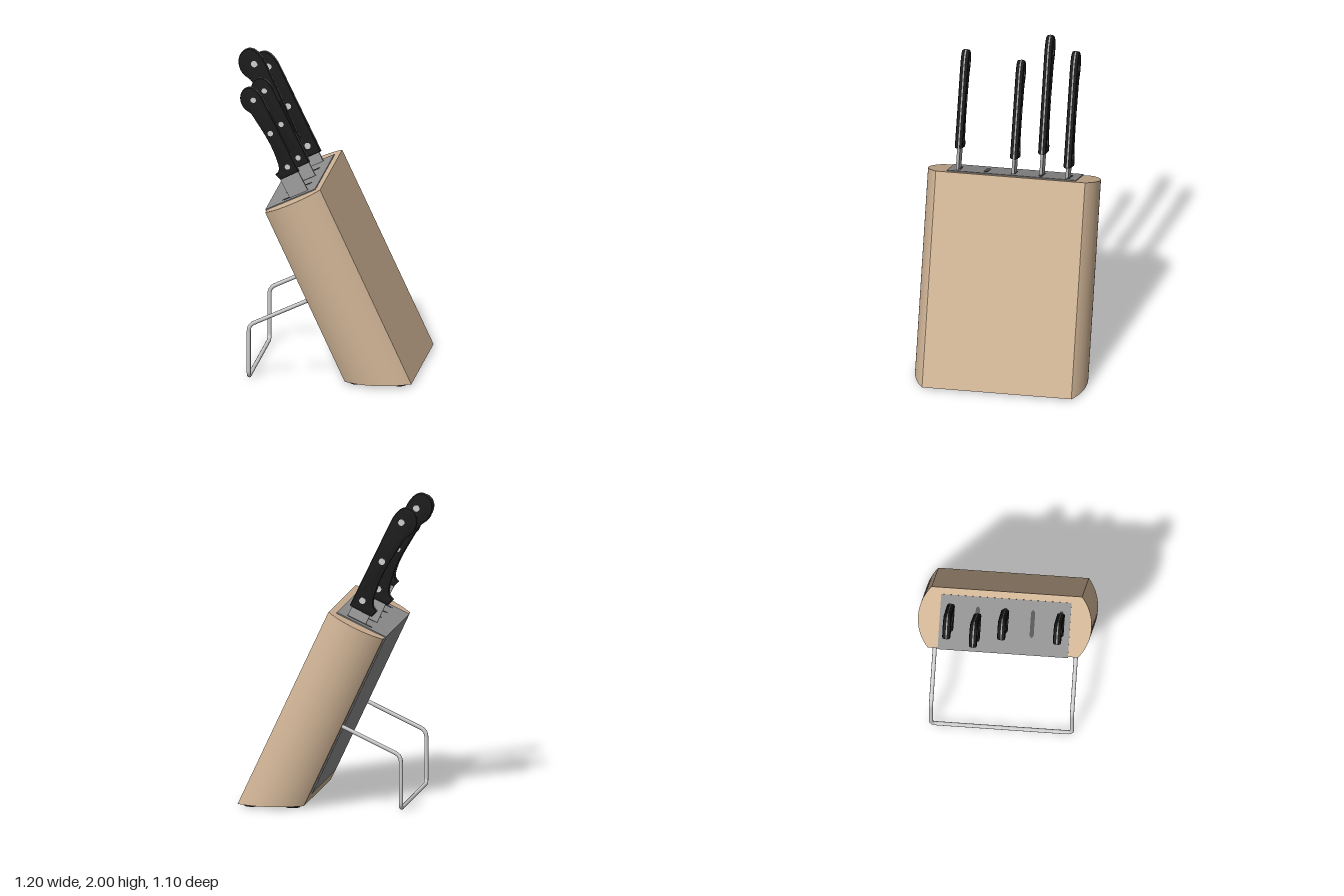
import * as THREE from 'three';
import { toCreasedNormals } from 'three/addons/utils/BufferGeometryUtils.js';

const TILT = THREE.MathUtils.degToRad(25);
const TOP = { x: -0.155, y: 1.185 }; // centre of the block's top face
const FLOOR = 0.015;                 // underside of the block

function material(name, color) {
  const m = new THREE.MeshStandardMaterial({ color });
  m.name = name;
  return m;
}

function add(parent, name, geometry, mat, x = 0, y = 0, z = 0) {
  const mesh = new THREE.Mesh(geometry, mat);
  mesh.name = name;
  mesh.position.set(x, y, z);
  parent.add(mesh);
  return mesh;
}

// Local height at which the tilted block meets its level underside
const bottomAt = (x, level) =>
  (level - TOP.y - Math.sin(TILT) * x) / Math.cos(TILT);

// Prism along y whose lower end is cut level with the ground
function cutPrism(shape, top, level) {
  const g = new THREE.ExtrudeGeometry(shape, { depth: 1, bevelEnabled: false, curveSegments: 24 });
  g.rotateX(-Math.PI / 2);
  const p = g.attributes.position;
  for (let i = 0; i < p.count; i++) {
    p.setY(i, p.getY(i) < 0.5 ? bottomAt(p.getX(i), level) : top);
  }
  return toCreasedNormals(g, 0.5);
}

// Flat fronted block with bulging ends
function blockShape() {
  const w = 0.193, flat = 0.477, bulge = 0.073;
  const r = (w * w + bulge * bulge) / (2 * bulge);
  const a = Math.asin(w / r), c = flat + bulge - r;
  const s = new THREE.Shape();
  s.moveTo(w, -flat);
  s.lineTo(w, flat);
  s.absarc(0, c, r, Math.PI / 2 - a, Math.PI / 2 + a, false);
  s.lineTo(-w, -flat);
  s.absarc(0, -c, r, -Math.PI / 2 - a, -Math.PI / 2 + a, false);
  return s;
}

function rectShape(x0, x1, z) {
  return new THREE.Shape([[x0, -z], [x1, -z], [x1, z], [x0, z]].map(p => new THREE.Vector2(...p)));
}

// Handle outline: straight spine, hooked butt, hollow grip and heel
function handleShape(grow) {
  const s = new THREE.Shape();
  s.moveTo(-0.1, 0);
  s.lineTo(0.06 + grow, 0);
  s.lineTo(0.065 + grow, 0.62);
  s.bezierCurveTo(0.065 + grow, 0.70, 0.04, 0.755 + grow, -0.01, 0.755 + grow);
  s.bezierCurveTo(-0.06, 0.755 + grow, -0.1 - grow, 0.71, -0.1 - grow, 0.65);
  s.bezierCurveTo(-0.1 - grow, 0.59, -0.07 - grow, 0.59, -0.064 - grow, 0.54);
  s.bezierCurveTo(-0.055 - grow, 0.42, -0.03 - grow, 0.3, -0.055 - grow, 0.14);
  s.bezierCurveTo(-0.065 - grow, 0.07, -0.08 - grow, 0.06, -0.115 - grow, 0.05);
  s.lineTo(-0.1, 0);
  return s;
}

function slab(shape, depth, bevel) {
  const core = depth - 2 * bevel;
  const g = new THREE.ExtrudeGeometry(shape, {
    depth: core, bevelEnabled: bevel > 0, bevelSize: bevel, bevelThickness: bevel,
    bevelOffset: -bevel, bevelSegments: 2, curveSegments: 10,
  });
  g.translate(0, 0, -core / 2);
  return toCreasedNormals(g, 0.6);
}

// Rod path through points with rounded corners
function roundedPath(points, r) {
  const path = new THREE.CurvePath();
  let from = points[0];
  for (let i = 1; i < points.length - 1; i++) {
    const c = points[i];
    const a = c.clone().add(points[i - 1].clone().sub(c).setLength(r));
    const b = c.clone().add(points[i + 1].clone().sub(c).setLength(r));
    path.add(new THREE.LineCurve3(from, a));
    path.add(new THREE.QuadraticBezierCurve3(a, c, b));
    from = b;
  }
  path.add(new THREE.LineCurve3(from, points[points.length - 1]));
  return path;
}

export function createModel() {
  const wood = material('wood', 0xd0b496);
  const grey = material('grey insert', 0x909090);
  const dark = material('slot grey', 0x555555);
  const black = material('black', 0x1c1c1c);
  const steel = material('steel', 0xa0a0a0);
  const bright = material('bright steel', 0xcfcfcf);

  const model = new THREE.Group();
  model.name = 'knifeBlock';
  const tilted = new THREE.Group();
  tilted.name = 'tiltedBlock';
  tilted.position.set(TOP.x, TOP.y, 0);
  tilted.rotation.z = TILT;
  model.add(tilted);

  // Wooden body and the grey insert let into its top and back
  add(tilted, 'body', cutPrism(blockShape(), 0, FLOOR), wood);
  add(tilted, 'insert', cutPrism(rectShape(-0.2, 0.15, 0.413), 0.006, 0.085), grey);

  // Slots with pointed ends
  const slot = new THREE.Shape([[-0.09, 0], [-0.075, -0.013], [0.075, -0.013], [0.09, 0],
    [0.075, 0.013], [-0.075, 0.013]].map(p => new THREE.Vector2(...p)));
  const slotGeo = new THREE.ExtrudeGeometry(slot, { depth: 0.004, bevelEnabled: false });
  slotGeo.rotateX(-Math.PI / 2);
  for (let i = -2; i <= 2; i++) add(tilted, 'slot', slotGeo, dark, 0, 0.004, i * 0.175);

  // Knives: z, x offset, height of handle base, size, lean
  const knives = [
    [0.355, 0.042, 0.14, 0.83, 0.035],
    [0, 0.04, 0.10, 0.83, 0.03],
    [-0.172, -0.005, 0.14, 1, 0],
    [-0.345, 0.04, 0.07, 0.98, 0.02],
  ];
  const handleGeo = slab(handleShape(0), 0.05, 0.012);
  const tangGeo = slab(handleShape(0.002), 0.008, 0);
  const rivetGeo = new THREE.CylinderGeometry(0.021, 0.021, 0.054, 16);
  rivetGeo.rotateX(Math.PI / 2);
  for (const [z, x, y, size, lean] of knives) {
    const knife = new THREE.Group();
    knife.name = 'knife';
    knife.position.set(x, y, z);
    knife.rotation.z = lean;
    tilted.add(knife);
    const grip = new THREE.Group();
    grip.name = 'grip';
    grip.scale.set(size, size, 1);
    knife.add(grip);
    add(grip, 'handle', handleGeo, black);
    add(grip, 'tang', tangGeo, steel);
    for (const v of [0.07, 0.36, 0.65]) add(grip, 'rivet', rivetGeo, bright, 0, v, 0);
    // Blade root running down into the slot
    const length = y + 0.1;
    add(knife, 'blade', new THREE.BoxGeometry(0.127, length, 0.018), steel, -0.02, 0.02 - length / 2, 0);
  }

  // Bent wire stand
  const half = 0.447;
  const side = s => [[-0.03, 0.545], [-0.44, 0.353], [-0.44, 0.014]]
    .map(([x, y]) => new THREE.Vector3(x, y, s * half));
  const rod = roundedPath([...side(1), ...side(-1).reverse()], 0.04);
  add(model, 'stand', new THREE.TubeGeometry(rod, 160, 0.013, 10, false), bright);

  // Feet
  const footGeo = new THREE.CylinderGeometry(0.045, 0.045, FLOOR + 0.005, 20);
  for (const x of [0.255, 0.52]) {
    for (const s of [-1, 1]) add(model, 'foot', footGeo, black, x, (FLOOR + 0.005) / 2, s * 0.44);
  }

  return model;
}
